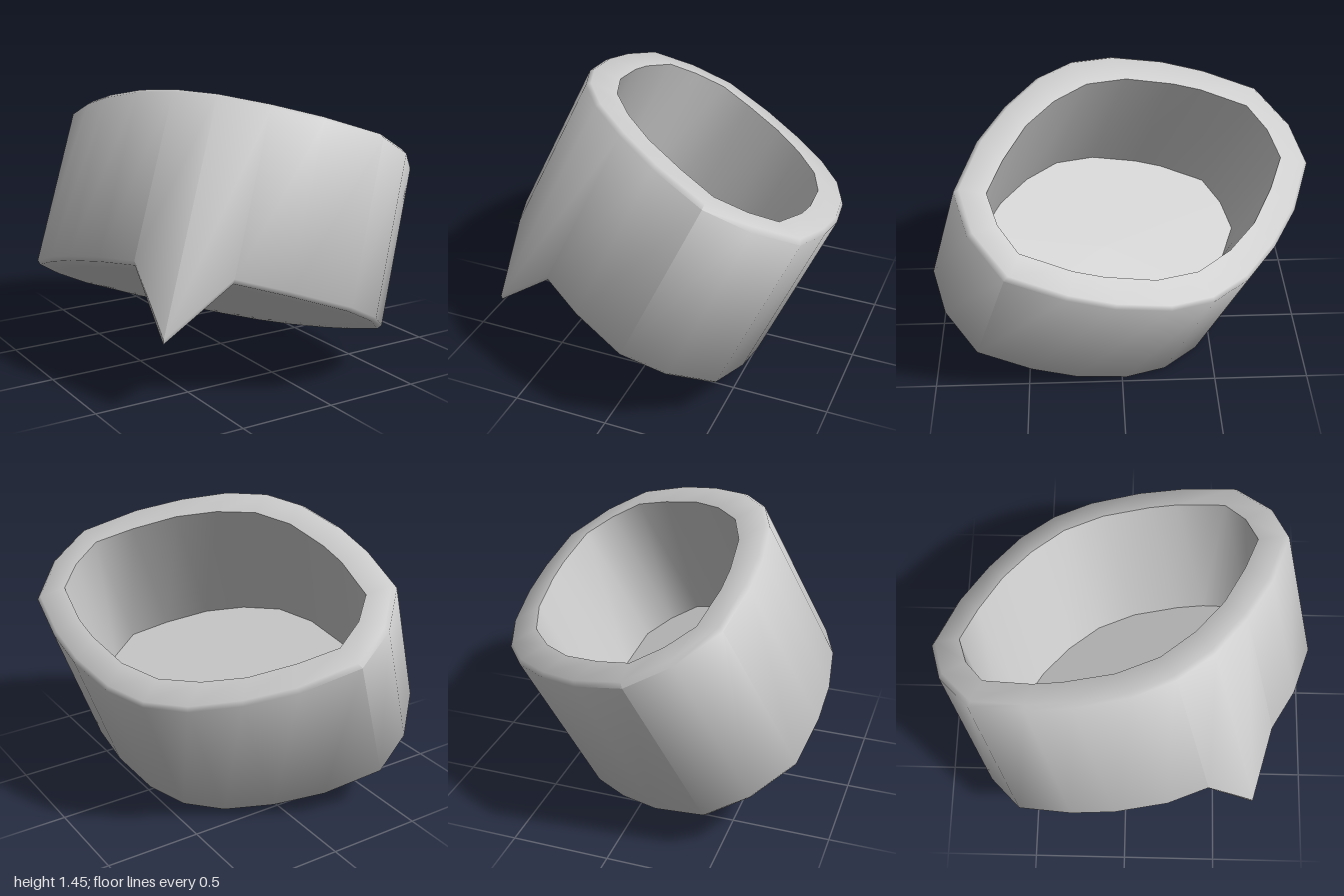
import * as THREE from 'three';
import { toCreasedNormals } from 'three/addons/utils/BufferGeometryUtils.js';

// Half outlines as [across, along]; the other half is the same turned 180 degrees
const OUTER = [[0, .953], [.248, .931], [.497, .803], [.63, .534], [.704, .307],
  [.747, .03], [.726, -.196], [.633, -.406], [.467, -.61], [.27, -.79]];
const INNER = [[.035, .801], [.212, .781], [.372, .71], [.493, .472], [.54, .325],
  [.587, .071], [.567, -.154], [.471, -.353], [.334, -.529], [.144, -.685]];
const HEIGHT = 0.885, FLOOR = 0.11, BEVEL = 0.02;
const SPIKE = 17, SPIKE_DROP = 0.34; // outline corner pulled down into a spike

const ring = (half, y, scale = 1) =>
  [...half, ...half.map(([x, z]) => [-x, -z])].map(([x, z]) => new THREE.Vector3(x * scale, y, z * scale));

// Skin a stack of closed rings, capping both ends with a fan
function skin(rings) {
  const pos = [];
  const tri = (...pts) => pts.forEach((p) => pos.push(p.x, p.y, p.z));
  const n = rings[0].length;
  const first = rings[0], last = rings[rings.length - 1];
  const bottom = new THREE.Vector3(0, first[0].y, 0), top = new THREE.Vector3(0, last[0].y, 0);
  for (let i = 0; i < n; i++) {
    const j = (i + 1) % n;
    tri(bottom, first[j], first[i]);
    for (let k = 0; k < rings.length - 1; k++) {
      const lo = rings[k], up = rings[k + 1];
      tri(lo[i], lo[j], up[j]);
      tri(lo[i], up[j], up[i]);
    }
    tri(top, last[i], last[j]);
  }
  const geo = new THREE.BufferGeometry();
  geo.setAttribute('position', new THREE.Float32BufferAttribute(pos, 3));
  return toCreasedNormals(geo, 1);
}

export function createModel() {
  const model = new THREE.Group();
  model.name = 'tiltedCup';

  // Underside, bevelled foot, wall, bevelled rim, then down inside to the floor
  const underside = ring(INNER, 0);
  const foot = ring(OUTER, 0, 0.98);
  const wallBase = ring(OUTER, BEVEL);
  underside[SPIKE].multiplyScalar(0.72); // root of the spike's inner slope
  foot[SPIKE].y -= SPIKE_DROP;
  wallBase[SPIKE].y -= SPIKE_DROP;
  const rings = [
    underside, foot, wallBase,
    ring(OUTER, HEIGHT - BEVEL), ring(OUTER, HEIGHT, 0.975),
    ring(INNER, HEIGHT), ring(INNER, FLOOR),
  ];
  const cup = new THREE.Mesh(skin(rings), new THREE.MeshStandardMaterial({ color: 0xcccccc }));
  cup.name = 'cupWithSpike';

  // Lean the cup over
  const up = new THREE.Vector3(0.33, 0.76, -0.2).normalize();
  const across = up.clone().cross(new THREE.Vector3(0.53, 0.24, 1.8)).normalize();
  const along = across.clone().cross(up);
  cup.quaternion.setFromRotationMatrix(new THREE.Matrix4().makeBasis(across, up, along));
  model.add(cup);

  // Stand on the ground, centred
  model.updateMatrixWorld(true);
  const box = new THREE.Box3().setFromObject(model, true);
  const centre = box.getCenter(new THREE.Vector3());
  cup.position.set(-centre.x, -box.min.y, -centre.z);
  return model;
}
